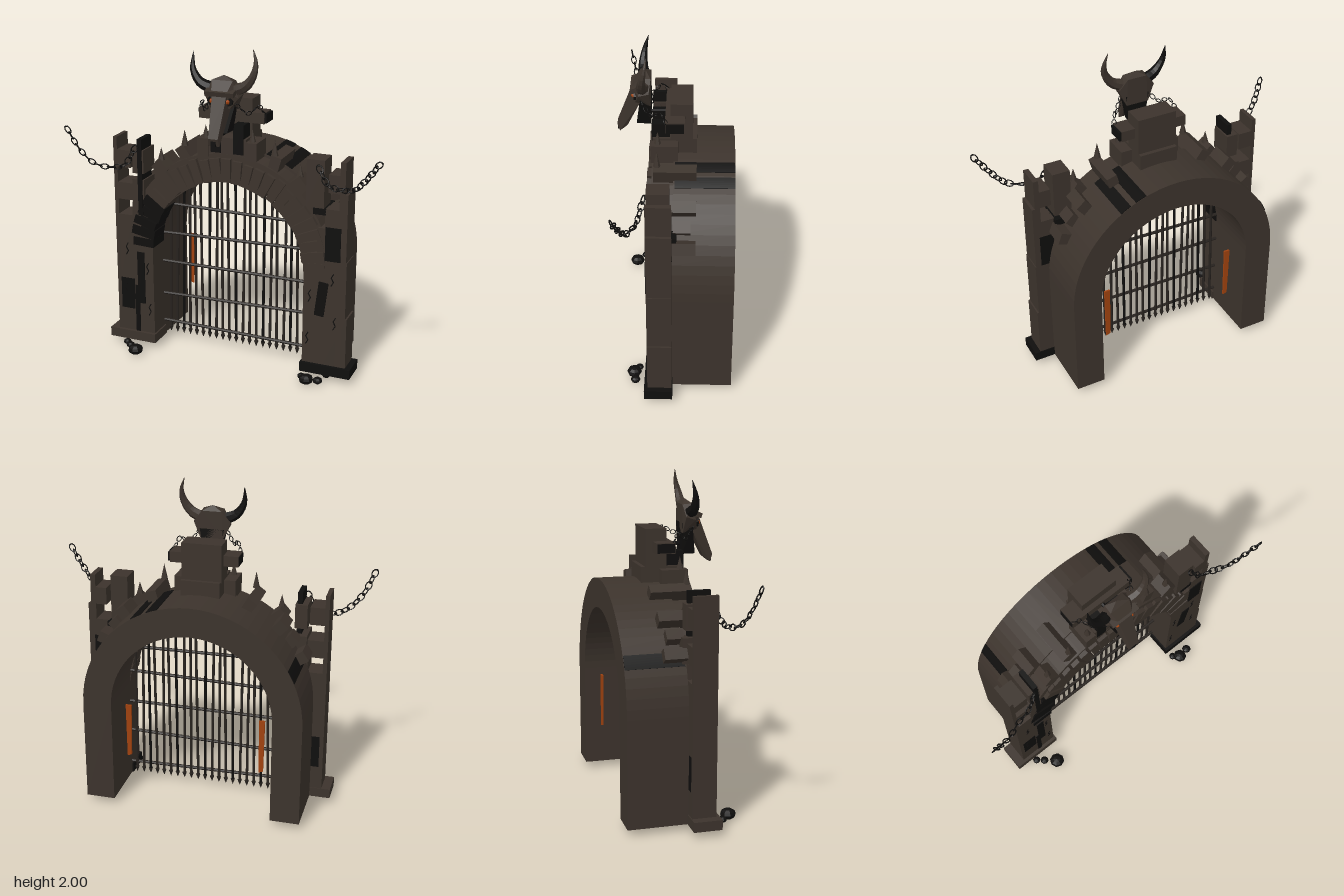
import * as THREE from 'three';
import { ConvexGeometry } from 'three/addons/geometries/ConvexGeometry.js';

const mat = (name, color, extra = {}) => {
  const m = new THREE.MeshStandardMaterial({ color, flatShading: true, ...extra });
  m.name = name;
  return m;
};

export function createModel() {
  const root = new THREE.Group();
  const stone = mat('stone', 0x3c332c);
  const charcoal = mat('charcoal', 0x0f0e0d);
  const iron = mat('iron', 0x28231f);
  const ember = mat('ember', 0xa0420f);

  let seed = 7;
  const rnd = () => (seed = (seed * 16807) % 2147483647) / 2147483647;
  const jit = (a) => (rnd() - 0.5) * 2 * a;

  const add = (name, geo, m, parent = root) => {
    const mesh = new THREE.Mesh(geo, m);
    mesh.name = name;
    parent.add(mesh);
    return mesh;
  };
  const group = (name) => {
    const g = new THREE.Group();
    g.name = name;
    root.add(g);
    return g;
  };
  // box given by its limits on each axis
  const box = (name, m, x0, x1, y0, y1, z0, z1, parent = root) => {
    const b = add(name, new THREE.BoxGeometry(Math.abs(x1 - x0), y1 - y0, z1 - z0), m, parent);
    b.position.set((x0 + x1) / 2, (y0 + y1) / 2, (z0 + z1) / 2);
    return b;
  };
  // straight round bar between two points
  const bar = (name, m, a, b, r, parent = root) => {
    const d = b.clone().sub(a);
    const c = add(name, new THREE.CylinderGeometry(r, r, d.length(), 6), m, parent);
    c.position.copy(a).add(b).multiplyScalar(0.5);
    c.quaternion.setFromUnitVectors(new THREE.Vector3(0, 1, 0), d.normalize());
    return c;
  };
  const V = (x, y, z) => new THREE.Vector3(x, y, z);
  const SPRING = 0.69, RI = 0.5, RO = 0.68;

  // vaulted tunnel
  const arch = new THREE.Shape();
  arch.moveTo(RO, 0.04);
  arch.lineTo(RO, SPRING);
  arch.absarc(0, SPRING, RO, 0, Math.PI, false);
  arch.lineTo(-RO, 0.04);
  arch.lineTo(-RI, 0.04);
  arch.lineTo(-RI, SPRING);
  arch.absarc(0, SPRING, RI, Math.PI, 0, true);
  arch.lineTo(RI, 0.04);
  const vault = add('vault', new THREE.ExtrudeGeometry(arch, { depth: 0.36, bevelEnabled: false, curveSegments: 18 }), stone);
  vault.position.z = -0.355;

  // dark roof strips
  for (const [a0, a1] of [[58, 64], [67, 73], [149, 156]]) {
    const s = new THREE.Shape();
    const p0 = a0 * Math.PI / 180, p1 = a1 * Math.PI / 180;
    s.absarc(0, 0, RO + 0.004, p0, p1, false);
    s.absarc(0, 0, RO - 0.005, p1, p0, true);
    add('roofStrip', new THREE.ExtrudeGeometry(s, { depth: 0.35, bevelEnabled: false, curveSegments: 3 }), charcoal)
      .position.set(0, SPRING, -0.353);
  }

  // ring of arch stones
  const ring = group('archStones');
  const N = 27;
  for (let i = 0; i < N; i++) {
    const a = (i + 0.5) / N * Math.PI;
    const h = 0.145 + jit(0.012), r = 0.492 + h / 2 + jit(0.006);
    const v = add('archStone', new THREE.BoxGeometry(h, 0.058 + jit(0.006), 0.15 + jit(0.01)), i > 21 ? charcoal : stone, ring);
    v.position.set(Math.cos(a) * r, SPRING + Math.sin(a) * r, 0.08);
    v.rotation.z = a + jit(0.04);
  }
  const rim = new THREE.Shape();
  rim.absarc(0, 0, 0.665, 0, Math.PI, false);
  rim.absarc(0, 0, 0.52, Math.PI, 0, true);
  add('archBacking', new THREE.ExtrudeGeometry(rim, { depth: 0.13, bevelEnabled: false, curveSegments: 18 }), stone)
    .position.set(0, SPRING, 0.002);

  // gate pillars with broken stone courses
  for (const s of [-1, 1]) {
    const g = group(s < 0 ? 'rightPillar' : 'leftPillar');
    const b = (n, m, x0, x1, y0, y1, z0 = 0.005, z1 = 0.15) => box(n, m, s * x0, s * x1, y0, y1, z0, z1, g);
    b('pillarBase', s < 0 ? stone : charcoal, 0.49, 0.81, 0.04, 0.1, 0, 0.17);
    b('innerShaft', stone, 0.5, 0.635, 0.1, 0.76);
    b('innerShaft', stone, 0.58, 0.635, 0.76, 0.98);
    b('outerPost', stone, s < 0 ? 0.73 : 0.71, s < 0 ? 0.755 : 0.742, 0.1, 1.39);
    b('topStone', stone, 0.64, 0.73, 1.2, 1.31);
    b('midStone', stone, 0.625, 0.73, 0.99, 1.1);
    if (s < 0) {
      b('lowStone', stone, 0.635, 0.73, 0.1, 0.25);
      b('darkStone', charcoal, 0.635, 0.73, 0.25, 0.46);
      b('shaftStone', stone, 0.635, 0.73, 0.46, 0.89);
      b('shaftScar', charcoal, 0.56, 0.61, 0.3, 0.65, 0.15, 0.155);
      b('shaftScar', charcoal, 0.6, 0.63, 0.1, 0.42, 0.15, 0.155);
      b('darkPost', charcoal, 0.56, 0.59, 0.9, 1.39, 0.02, 0.155);
      b('perchedStone', stone, 0.55, 0.63, 0.98, 1.13, -0.02, 0.15);
      b('perchedStone', stone, 0.55, 0.625, 1.17, 1.32, 0, 0.15);
    } else {
      b('lowStone', stone, 0.635, 0.775, 0.1, 0.42);
      b('shaftStone', stone, 0.635, 0.765, 0.42, 0.78);
      b('darkStone', charcoal, 0.63, 0.725, 0.78, 0.99, 0.005, 0.155);
      b('outerCourse', stone, 0.725, 0.76, 0.78, 1.2);
      const scar = b('shaftScar', charcoal, 0.585, 0.645, 0.42, 0.64, 0.15, 0.156);
      scar.rotation.z = -0.12;
      b('tallPost', stone, 0.505, 0.615, 1.1, 1.39, 0.02, 0.15);
      b('perchedStone', charcoal, 0.55, 0.63, 1.06, 1.1, -0.02, 0.15);
    }
    // cracks
    for (const [cx, cy] of [[0.68, 0.62], [0.7, 0.34], [0.54, 0.5], [0.53, 0.22]])
      for (let k = 0; k < 3; k++) {
        const c = b('crack', charcoal, cx - 0.003, cx + 0.003, cy + k * 0.026, cy + k * 0.026 + 0.032, 0.15, 0.153);
        c.rotation.z = (k % 2 ? 1 : -1) * 0.5;
      }
    // stones and spikes on the crown of the arch
    for (const [deg, r, w, h, z0, z1] of [[29, 0.7, 0.07, 0.08, -0.13, 0.02], [47, 0.71, 0.07, 0.08, -0.13, 0.02],
      [65, 0.7, 0.065, 0.09, -0.13, 0.12], [50, 0.69, 0.07, 0.09, 0.03, 0.14], [38, 0.69, 0.07, 0.08, -0.1, 0.0]]) {
      const a = deg * Math.PI / 180;
      const t = add('crownStone', new THREE.BoxGeometry(h, w, z1 - z0), stone, g);
      t.position.set(s * Math.cos(a) * r, SPRING + Math.sin(a) * r, (z0 + z1) / 2);
      t.rotation.z = s * (a + jit(0.2));
    }
    b('crownBlock', stone, 0.12, 0.19, 1.33, 1.44, -0.02, 0.14);
    for (const [x, y, h] of [[0.15, 1.475, 0.08], [0.29, 1.42, 0.1], [0.45, 1.3, 0.08]])
      add('crownSpike', new THREE.ConeGeometry(0.022, h, 6), stone, g).position.set(s * x, y, 0.1);
  }

  // portcullis
  const grille = group('portcullis');
  const GZ = -0.01;
  [[0.14, 0.125], [0.33, 0.355], [0.555, 0.56], [0.75, 0.775], [0.95, 0.94]].forEach(([y0, y1]) =>
    bar('crossBar', iron, V(-0.5, y0, GZ + 0.012), V(0.5, y1, GZ + 0.012), 0.01, grille));
  const M = 21;
  for (let i = 0; i < M; i++) {
    const x = -0.46 + 0.92 * i / (M - 1);
    const xt = Math.max(-0.46, Math.min(0.46, x + jit(0.02)));
    const top = SPRING + Math.sqrt(RI * RI - xt * xt) + 0.005;
    bar('gateBar', i % 4 === 2 ? charcoal : iron, V(x, 0.08, GZ), V(xt, top, GZ), 0.0085, grille);
    const tip = add('gateSpike', new THREE.ConeGeometry(0.015, 0.04, 5), iron, grille);
    tip.position.set(x, 0.075, GZ);
    tip.rotation.x = Math.PI;
  }

  // hanging ember banners inside the vault
  for (const s of [-1, 1]) {
    const sh = new THREE.Shape([[-0.018, 0.66], [-0.012, 0.32], [0.014, 0.31], [0.018, 0.66]].map(([x, y]) => new THREE.Vector2(x, y)));
    add('emberBanner', new THREE.ExtrudeGeometry(sh, { depth: 0.012, bevelEnabled: false }), ember).position.set(s * 0.42, 0, -0.266);
  }

  // pedestal behind the skull
  box('crownSlab', stone, -0.12, 0.12, 1.33, 1.455, -0.13, 0.13);
  box('pedestal', stone, -0.125, 0.12, 1.45, 1.68, -0.105, 0.025);
  box('pedestalBeam', stone, -0.215, 0.205, 1.54, 1.605, -0.06, 0.055);
  for (const s of [-1, 1]) {
    box('pedestalLeg', charcoal, s * 0.04, s * 0.105, 1.36, 1.54, 0.03, 0.135);
    box('beamCap', charcoal, s * 0.2, s * 0.218, 1.545, 1.6, -0.055, 0.05);
  }
  bar('skullRod', charcoal, V(0, 1.57, 0), V(0, 1.57, 0.15), 0.012);

  // horned skull
  const skull = group('hornedSkull');
  const hull = (name, m, pts) => add(name, new ConvexGeometry(pts.flatMap(([x, y, z]) => [V(x, y, z), V(-x, y, z)])), m, skull);
  hull('cranium', stone, [[0.06, 1.81, 0.14], [0.065, 1.815, 0.2], [0.004, 1.84, 0.17], [0.115, 1.74, 0.15],
    [0.105, 1.72, 0.21], [0.05, 1.76, 0.245], [0.06, 1.66, 0.23], [0.07, 1.64, 0.14]]);
  hull('jaw', charcoal, [[0.075, 1.7, 0.14], [0.08, 1.68, 0.2], [0.045, 1.51, 0.14], [0.04, 1.51, 0.225]]);
  hull('snout', stone, [[0.045, 1.74, 0.245], [0.055, 1.66, 0.2], [0.03, 1.5, 0.34], [0.035, 1.455, 0.325], [0.03, 1.49, 0.28]]);
  box('noseGap', charcoal, -0.014, 0.014, 1.455, 1.485, 0.325, 0.338, skull);
  const brow = box('brow', stone, -0.09, 0.09, 1.735, 1.765, 0.2, 0.255, skull);
  brow.rotation.x = 0.3;

  const horn = (pts, r0) => {
    const curve = new THREE.CatmullRomCurve3(pts), n = 10, k = 7;
    const geo = new THREE.TubeGeometry(curve, n, r0, k, false), p = geo.attributes.position;
    for (let i = 0; i <= n; i++) {
      const c = curve.getPointAt(i / n), f = 1 - 0.96 * (i / n) ** 1.4;
      for (let j = 0; j <= k; j++) {
        const q = i * (k + 1) + j, v = V(0, 0, 0).fromBufferAttribute(p, q).sub(c).multiplyScalar(f).add(c);
        p.setXYZ(q, v.x, v.y, v.z);
      }
    }
    geo.computeVertexNormals();
    return geo;
  };
  // oblong links alternating along a curve
  const chain = (name, pts, n, r) => {
    const g = group(name), curve = new THREE.CatmullRomCurve3(pts);
    for (let i = 0; i <= n; i++) {
      const l = add('chainLink', new THREE.TorusGeometry(r, r * 0.2, 5, 10), charcoal, g);
      l.position.copy(curve.getPointAt(i / n));
      l.quaternion.setFromUnitVectors(V(1, 0, 0), curve.getTangentAt(i / n));
      l.rotateX(i % 2 ? 1.15 : 0.15);
      l.scale.set(1.3, 0.9, 1);
    }
  };
  for (const s of [-1, 1]) {
    const tip = s > 0 ? V(0.175, 2.0, 0.16) : V(-0.195, 1.965, 0.16);
    add('horn', horn([V(s * 0.07, 1.76, 0.18), V(s * 0.14, 1.79, 0.19), V(s * 0.188, 1.86, 0.185), V(s * 0.195, 1.93, 0.17), tip], 0.036),
      s < 0 ? charcoal : stone, skull);
    const socket = add('eyeSocket', new THREE.CylinderGeometry(0.026, 0.026, 0.02, 7), charcoal, skull);
    socket.rotation.x = Math.PI / 2;
    socket.position.set(s * 0.055, 1.7, 0.228);
    const eye = add('eye', new THREE.SphereGeometry(0.014, 7, 5), ember, skull);
    eye.position.set(s * 0.05, 1.7, 0.24);
    chain('skullChain', [V(s * 0.09, 1.67, 0.19), V(s * 0.14, 1.62, 0.14), V(s * 0.18, 1.65, 0.08), V(s * 0.2, 1.61, 0.05)], 5, 0.014);
  }

  // swinging side chains
  chain('leftChain', [V(0.975, 1.45, 0.31), V(0.9, 1.35, 0.28), V(0.82, 1.27, 0.25), V(0.72, 1.25, 0.21), V(0.65, 1.26, 0.19), V(0.59, 1.34, 0.165)], 14, 0.02);
  chain('rightChain', [V(-0.975, 1.45, 0.31), V(-0.92, 1.33, 0.28), V(-0.84, 1.24, 0.25), V(-0.76, 1.21, 0.21), V(-0.66, 1.23, 0.19), V(-0.6, 1.33, 0.165)], 14, 0.02);

  // rubble at the feet
  for (const [x, z, r] of [[-0.575, 0.28, 0.048], [-0.64, 0.225, 0.027], [-0.68, 0.19, 0.025], [0.56, 0.24, 0.045], [0.63, 0.23, 0.03], [0.52, 0.21, 0.025]]) {
    const k = add('rubble', new THREE.SphereGeometry(r, 8, 6), charcoal);
    k.position.set(x, Math.max(0.03, r * 0.7), z);
    k.scale.y = 0.7;
  }
  add('floorPebble', new THREE.SphereGeometry(0.03, 7, 5), charcoal).position.set(0.65, 0.03, 0.12);
  return root;
}
